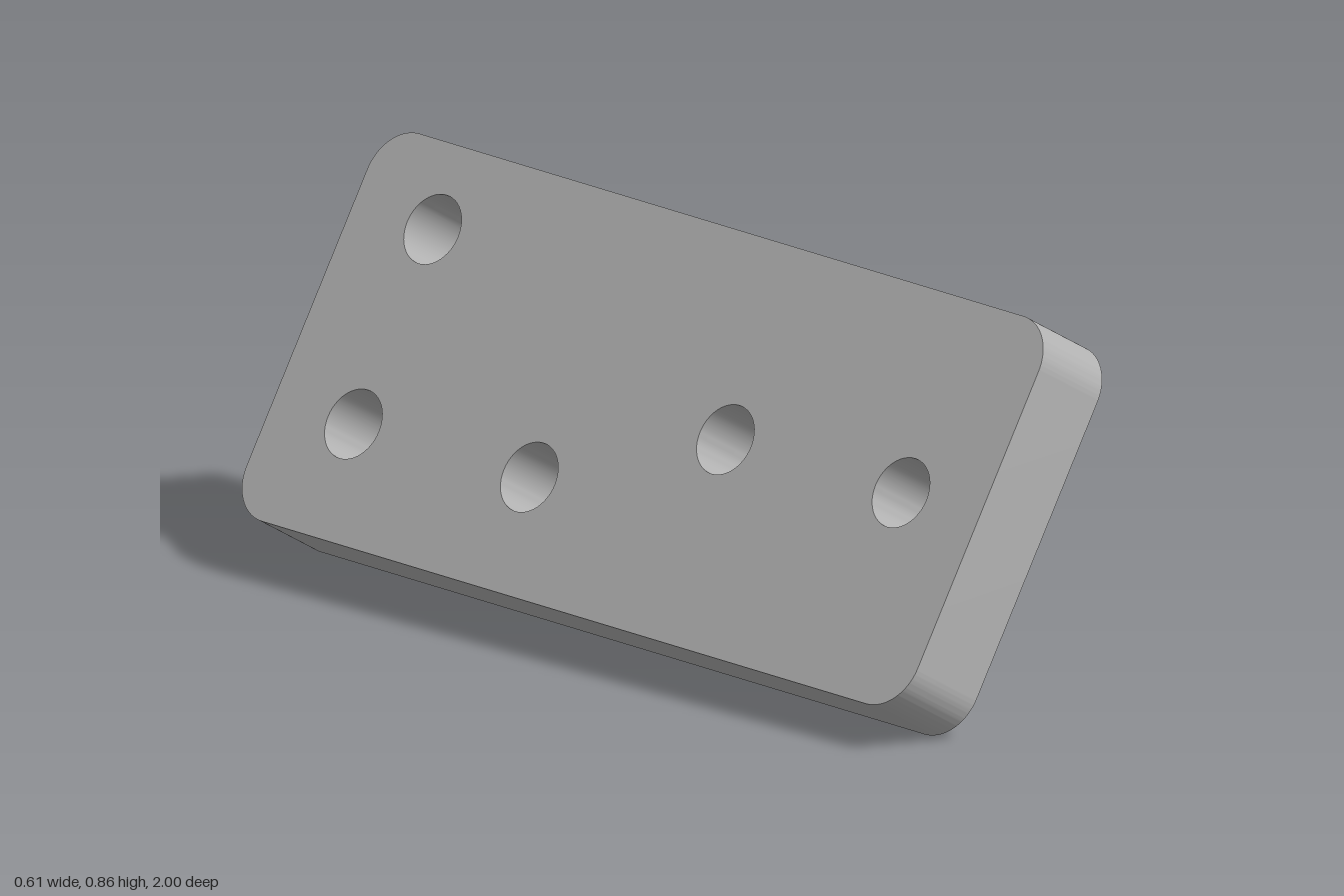
import * as THREE from 'three';
import { toCreasedNormals } from 'three/addons/utils/BufferGeometryUtils.js';

const LENGTH = 1.988, HEIGHT = 0.85, THICK = 0.19, CORNER = 0.1, HOLE = 0.075;

// Hole centres in the plane of the plate: [along, up]
const HOLES = [[-0.761, 0.008], [-0.241, 0.008], [0.236, -0.181], [0.757, -0.181], [0.757, 0.246]];

function roundedRect(w, h, r) {
  const x = w / 2 - r, y = h / 2 - r;
  const s = new THREE.Shape();
  s.absarc(x, y, r, 0, Math.PI / 2);
  s.absarc(-x, y, r, Math.PI / 2, Math.PI);
  s.absarc(-x, -y, r, Math.PI, Math.PI * 1.5);
  s.absarc(x, -y, r, Math.PI * 1.5, Math.PI * 2);
  s.closePath();
  return s;
}

export function createModel() {
  const group = new THREE.Group();
  group.name = 'drilledPlate';
  const grey = new THREE.MeshStandardMaterial({ color: 0xb3b3b3 });
  grey.name = 'grey';

  // Rounded plate with through holes
  const shape = roundedRect(LENGTH, HEIGHT, CORNER);
  for (const [x, y] of HOLES) {
    const hole = new THREE.Path();
    hole.absarc(x, y, HOLE, 0, Math.PI * 2, true);
    shape.holes.push(hole);
  }
  const extruded = new THREE.ExtrudeGeometry(shape, { depth: THICK, bevelEnabled: false, curveSegments: 24 });
  extruded.clearGroups();
  const geometry = toCreasedNormals(extruded, 0.6);

  // Turn slightly in its own plane, face it sideways, then lean it over
  geometry.translate(0, 0, -THICK / 2);
  geometry.rotateZ(0.0192);
  geometry.rotateY(Math.PI / 2);
  geometry.rotateZ(-Math.PI / 6);
  geometry.computeBoundingBox();
  geometry.translate(0, -geometry.boundingBox.min.y, 0);

  const plate = new THREE.Mesh(geometry, grey);
  plate.name = 'plate';
  group.add(plate);
  return group;
}
